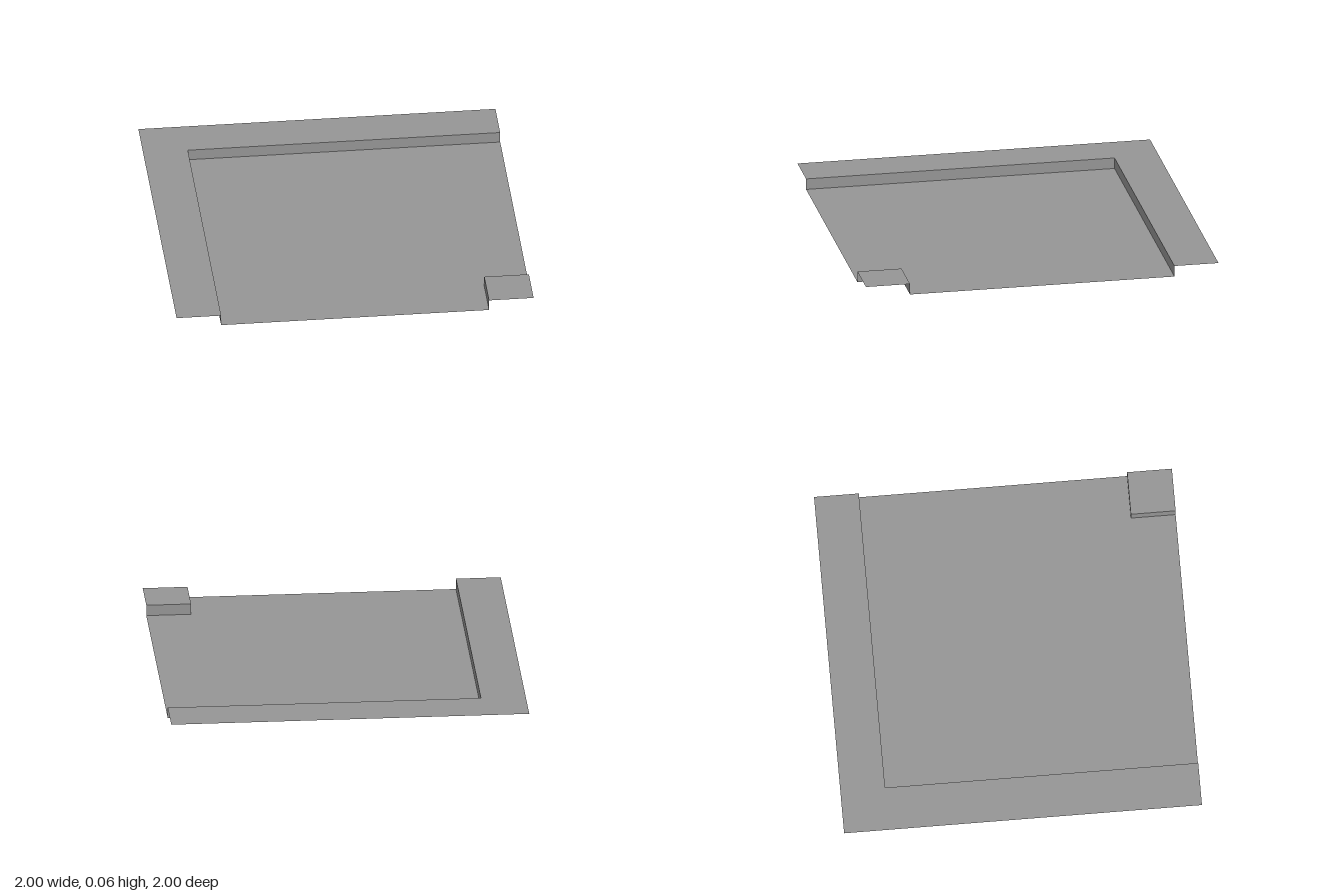
import * as THREE from 'three';

const H = 0.0625; // curb height
const E = 0.75;   // curb line
const concrete = new THREE.MeshStandardMaterial({ color: 0x969696, side: THREE.DoubleSide });
concrete.name = 'concrete grey';

// Flat upward-facing sheet from [x, z] outline points
function sheet(name, y, outline) {
  const shape = new THREE.Shape(outline.map(([x, z]) => new THREE.Vector2(x, -z)));
  const geometry = new THREE.ShapeGeometry(shape).rotateX(-Math.PI / 2).translate(0, y, 0);
  const mesh = new THREE.Mesh(geometry, concrete);
  mesh.name = name;
  return mesh;
}

// Upright curb strip, centred at x, z and turned to face the road
function curb(name, length, x, z, angle) {
  const geometry = new THREE.PlaneGeometry(length, H).rotateY(angle).translate(x, H / 2, z);
  const mesh = new THREE.Mesh(geometry, concrete);
  mesh.name = name;
  return mesh;
}

export function createModel() {
  const model = new THREE.Group();
  model.name = 'streetCorner';

  // Sunken road, notched at the small corner
  model.add(sheet('road', 0, [[-E, -E], [1, -E], [1, E], [E, E], [E, 1], [-E, 1]]));

  // Raised pavements
  model.add(sheet('pavement', H, [[-1, -1], [1, -1], [1, -E], [-E, -E], [-E, 1], [-1, 1]]));
  model.add(sheet('cornerPavement', H, [[E, E], [1, E], [1, 1], [E, 1]]));

  // Curbs along the long pavement and round the corner block
  const long = 1 + E, short = 1 - E;
  model.add(
    curb('backCurb', long, (1 - E) / 2, -E, 0),
    curb('rightCurb', long, -E, (1 - E) / 2, Math.PI / 2),
    curb('cornerBackCurb', short, (1 + E) / 2, E, Math.PI),
    curb('cornerRightCurb', short, E, (1 + E) / 2, -Math.PI / 2)
  );
  return model;
}
